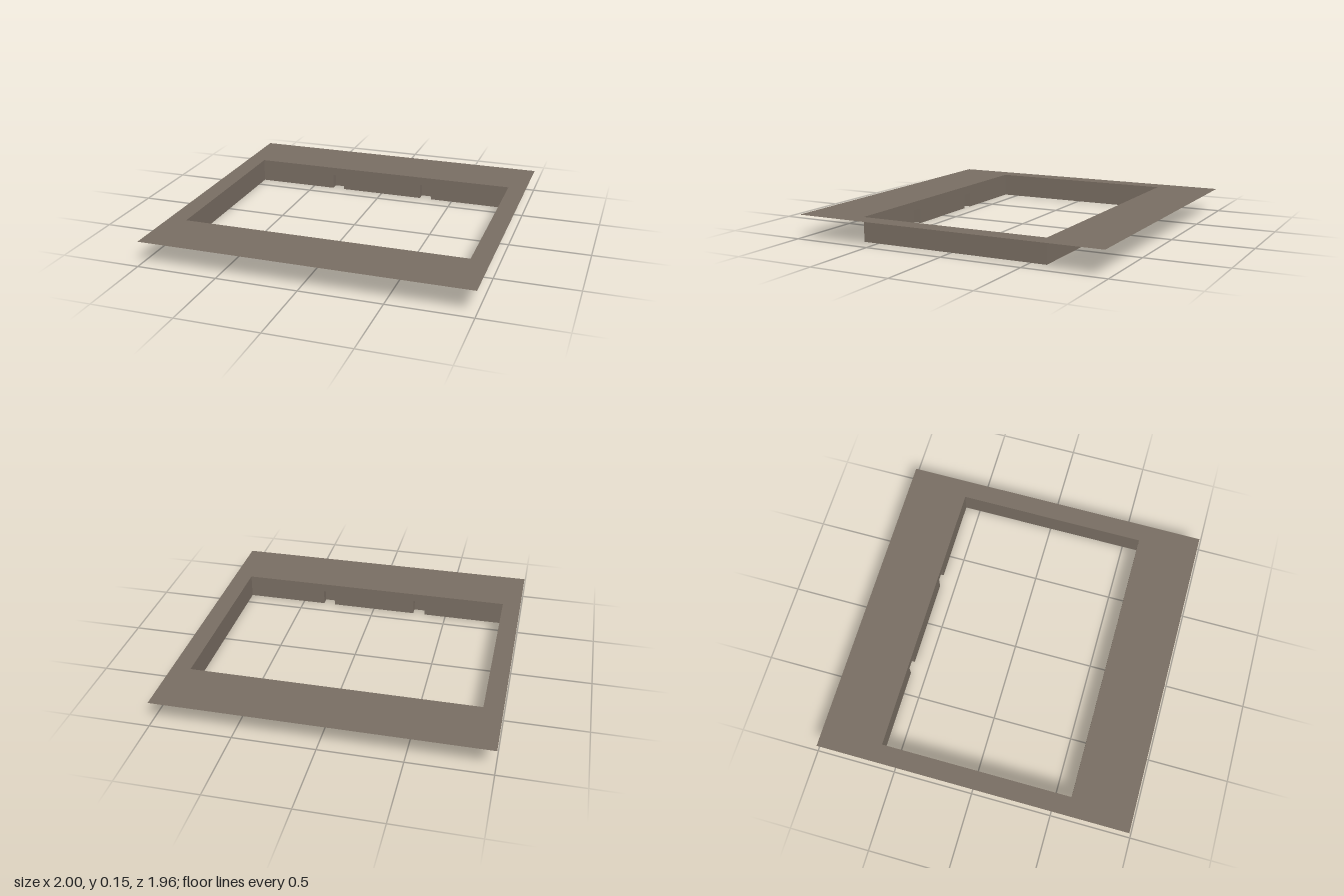
import * as THREE from 'three';

const OUT_X = 1, OUT_Z = 0.98;        // outer edge of the flange
const IN_X = 0.884, IN_Z = 0.598;     // opening
const H = 0.15;                       // collar height
const SLOT_X = 0.317, SLOT_W = 0.078, SLOT_H = 0.096, SLOT_D = 0.054;

export function createModel() {
  const model = new THREE.Group();
  model.name = 'flangedFrame';
  const metal = new THREE.MeshStandardMaterial({ color: 0x786d62, side: THREE.DoubleSide });
  metal.name = 'taupe sheet metal';

  const add = (parent, name, geometry, x = 0, y = 0, z = 0) => {
    const mesh = new THREE.Mesh(geometry, metal);
    mesh.name = name;
    mesh.position.set(x, y, z);
    parent.add(mesh);
    return mesh;
  };
  const rectangle = (Path, x, z) => new Path([[-x, -z], [x, -z], [x, z], [-x, z]]
    .map(([a, b]) => new THREE.Vector2(a, b)));

  // Flat sheet flange with the rectangular opening
  const flange = rectangle(THREE.Shape, OUT_X, OUT_Z);
  flange.holes.push(rectangle(THREE.Path, IN_X, IN_Z));
  add(model, 'flange', new THREE.ShapeGeometry(flange).rotateX(-Math.PI / 2), 0, H);

  // Plain collar walls on the short sides
  for (const s of [-1, 1]) {
    add(model, s > 0 ? 'leftWall' : 'rightWall',
      new THREE.PlaneGeometry(2 * IN_Z, H).rotateY(s * Math.PI / 2), s * IN_X, H / 2);
  }

  // Long collar walls, notched from below where the pockets sit
  const a = SLOT_X - SLOT_W / 2, b = SLOT_X + SLOT_W / 2;
  const outline = [[-IN_X, 0], [-b, 0], [-b, SLOT_H], [-a, SLOT_H], [-a, 0],
    [a, 0], [a, SLOT_H], [b, SLOT_H], [b, 0], [IN_X, 0], [IN_X, H], [-IN_X, H]];
  const wall = new THREE.ShapeGeometry(new THREE.Shape(outline.map(([x, y]) => new THREE.Vector2(x, y))));

  for (const side of ['front', 'back']) {
    const group = new THREE.Group();
    group.name = side + 'Side';
    group.rotation.y = side === 'front' ? 0 : Math.PI;
    model.add(group);
    add(group, side + 'Wall', wall, 0, 0, IN_Z);

    // Clip pockets: outer face, two cheeks and a roof, open below and inward
    for (const s of [-1, 1]) {
      const pocket = new THREE.Group();
      pocket.name = 'clipPocket';
      pocket.position.set(s * SLOT_X, 0, IN_Z);
      group.add(pocket);
      add(pocket, 'pocketFace', new THREE.PlaneGeometry(SLOT_W, SLOT_H), 0, SLOT_H / 2, SLOT_D);
      add(pocket, 'pocketRoof', new THREE.PlaneGeometry(SLOT_W, SLOT_D).rotateX(-Math.PI / 2),
        0, SLOT_H, SLOT_D / 2);
      for (const e of [-1, 1]) {
        add(pocket, 'pocketCheek', new THREE.PlaneGeometry(SLOT_D, SLOT_H).rotateY(e * Math.PI / 2),
          e * SLOT_W / 2, SLOT_H / 2, SLOT_D / 2);
      }
    }
  }
  return model;
}
